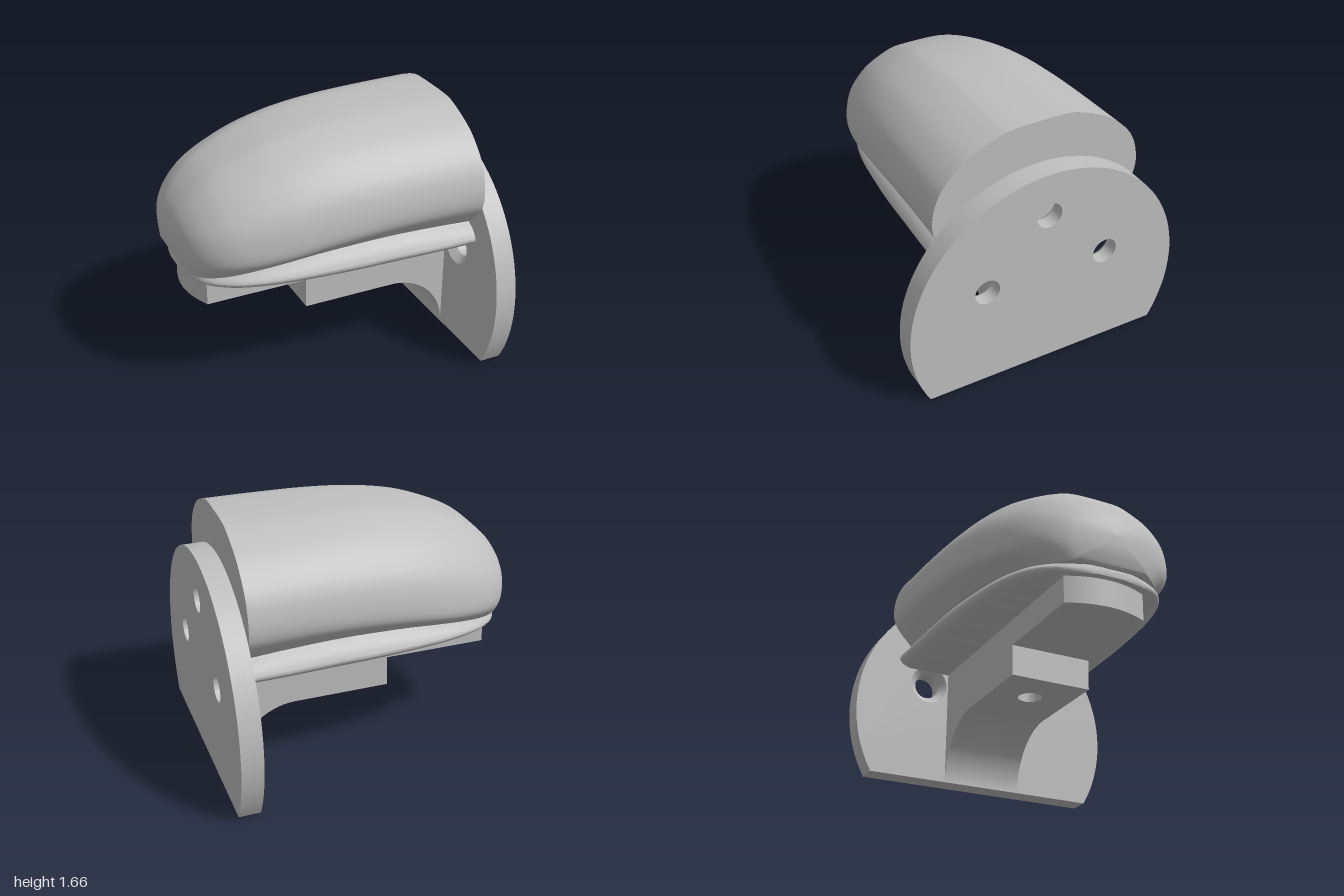
import * as THREE from 'three';
import { toCreasedNormals } from 'three/addons/utils/BufferGeometryUtils.js';

const grey = new THREE.MeshStandardMaterial({ color: 0xbebebe });
grey.name = 'grey';
const greyOpen = grey;
greyOpen.side = THREE.DoubleSide;

const PLATE_X = 0.86;   // inner face of the mounting plate
const ARM = 0.27;       // half width of the support arm

function part(name, geometry, crease = 0.6) {
  const mesh = new THREE.Mesh(toCreasedNormals(geometry, crease), grey);
  mesh.name = name;
  return mesh;
}

// Skin mirrored cross-sections along x.
// stations: [x, half width, mid y, top y, bottom y]; outline: [z, y] scaled to -1..1
function loft(stations, outline, steps = 72) {
  const curveA = new THREE.CatmullRomCurve3(stations.map(s => new THREE.Vector3(s[0], s[1], s[2])), false, 'catmullrom', 0.5);
  const curveB = new THREE.CatmullRomCurve3(stations.map(s => new THREE.Vector3(s[0], s[3], s[4])), false, 'catmullrom', 0.5);
  const half = new THREE.SplineCurve(outline.map(p => new THREE.Vector2(...p))).getPoints(28);
  const ring = [...half, ...half.slice(0, -1).reverse().map(p => new THREE.Vector2(-p.x, p.y))];
  const n = ring.length;
  const pos = [], idx = [];
  for (let i = 0; i <= steps; i++) {
    const a = curveA.getPoint(i / steps), b = curveB.getPoint(i / steps);
    for (const p of ring) {
      const rise = p.y > 0 ? b.y - a.z : a.z - b.z;
      pos.push(a.x, a.z + p.y * rise, p.x * Math.max(a.y, 0));
    }
  }
  for (let i = 0; i < steps; i++) {
    for (let j = 0; j < n; j++) {
      const k = (j + 1) % n;
      const a = i * n + j, b = i * n + k, c = a + n, d = b + n;
      idx.push(a, c, b, b, c, d);
    }
  }
  // flat end cap
  const end = stations[stations.length - 1];
  pos.push(end[0], end[2], 0);
  const centre = pos.length / 3 - 1;
  for (let j = 0; j < n; j++) idx.push(centre, steps * n + (j + 1) % n, steps * n + j);
  const g = new THREE.BufferGeometry();
  g.setAttribute('position', new THREE.Float32BufferAttribute(pos, 3));
  g.setIndex(idx);
  return g;
}

const extrude = (shape, depth) =>
  new THREE.ExtrudeGeometry(shape, { depth, bevelEnabled: false, curveSegments: 32 });

// One layer of the plate: a disc with a flat base and three holes
const HOLES = [[-0.41, 0.68], [0.41, 0.68], [0, 1.09]];
function plateLayer(x, depth, holeRadius) {
  const s = new THREE.Shape();
  s.absarc(0, 0.46, 0.92, -Math.PI / 6, Math.PI * 7 / 6, false);
  s.closePath();
  for (const [u, v] of HOLES) {
    s.holes.push(new THREE.Path().absarc(u, v, holeRadius, 0, Math.PI * 2, true));
  }
  return extrude(s, depth).rotateY(Math.PI / 2).translate(x, 0, 0);
}

export function createModel() {
  const model = new THREE.Group();
  model.name = 'wallBracket';

  // Rounded upper shell
  model.add(part('upperShell', loft([
    [-1.0, 0, 1.03, 1.03, 1.03],
    [-0.99, 0.1, 1.03, 1.09, 0.95],
    [-0.968, 0.21, 1.02, 1.16, 0.89],
    [-0.93, 0.32, 1.01, 1.23, 0.84],
    [-0.86, 0.42, 1.01, 1.315, 0.835],
    [-0.75, 0.505, 1.01, 1.41, 0.85],
    [-0.6, 0.567, 1.02, 1.49, 0.875],
    [-0.4, 0.615, 1.05, 1.567, 0.905],
    [-0.2, 0.642, 1.09, 1.613, 0.93],
    [0, 0.66, 1.12, 1.64, 0.945],
    [0.25, 0.674, 1.15, 1.655, 0.955],
    [0.55, 0.685, 1.17, 1.66, 0.95],
    [PLATE_X, 0.695, 1.18, 1.66, 0.935],
  ], [
    [0.8, -1], [0.9, -0.7], [0.96, -0.48], [0.99, -0.28], [1, 0], [0.98, 0.2],
    [0.935, 0.375], [0.86, 0.53], [0.72, 0.72], [0.575, 0.84], [0.38, 0.955], [0.25, 0.993], [0, 1],
  ])));

  // Bulging lip under the shell
  model.add(part('lowerLip', loft([
    [-0.94, 0, 0.805, 0.81, 0.8],
    [-0.934, 0.1, 0.805, 0.828, 0.78],
    [-0.915, 0.2, 0.805, 0.838, 0.775],
    [-0.87, 0.32, 0.81, 0.846, 0.775],
    [-0.79, 0.41, 0.82, 0.862, 0.775],
    [-0.65, 0.49, 0.83, 0.887, 0.775],
    [-0.4, 0.555, 0.84, 0.924, 0.775],
    [0, 0.6, 0.85, 0.962, 0.775],
    [0.3, 0.615, 0.855, 0.97, 0.775],
    [0.6, 0.625, 0.85, 0.962, 0.775],
    [PLATE_X, 0.63, 0.85, 0.945, 0.775],
  ], [
    [0.88, -1], [0.96, -0.75], [1, -0.35], [0.99, 0], [0.94, 0.4], [0.86, 0.75], [0.76, 1], [0, 1],
  ])));

  // Support arm with a curved front end
  const arm = new THREE.Shape();
  arm.moveTo(PLATE_X, -ARM);
  arm.lineTo(PLATE_X, ARM);
  arm.lineTo(-0.83, ARM);
  arm.quadraticCurveTo(-0.97, 0, -0.83, -ARM);
  arm.closePath();
  model.add(part('supportArm', extrude(arm, 0.21).rotateX(-Math.PI / 2).translate(0, 0.6, 0)));

  // Deeper block with a blind screw hole underneath
  const block = new THREE.Shape();
  block.moveTo(-0.16, -ARM);
  block.lineTo(0.46, -ARM);
  block.lineTo(0.46, ARM);
  block.lineTo(-0.16, ARM);
  block.closePath();
  block.holes.push(new THREE.Path().absarc(0.13, 0, 0.078, 0, Math.PI * 2, true));
  model.add(part('screwBlock', extrude(block, 0.2).rotateX(-Math.PI / 2).translate(0, 0.4, 0)));

  // Concave gusset joining block and plate
  const gusset = new THREE.Shape();
  gusset.moveTo(PLATE_X, 0);
  gusset.lineTo(PLATE_X, 0.6);
  gusset.lineTo(0.46, 0.6);
  gusset.lineTo(0.46, 0.4);
  gusset.absarc(0.46, 0, 0.4, Math.PI / 2, 0, true);
  model.add(part('gusset', extrude(gusset, ARM * 2).translate(0, 0, -ARM)));

  // Mounting plate in two layers, with countersunk holes
  const plate = new THREE.Group();
  plate.name = 'mountingPlate';
  plate.add(part('plateInner', plateLayer(PLATE_X, 0.05, 0.13)));
  plate.add(part('plateOuter', plateLayer(PLATE_X + 0.05, 0.09, 0.083)));
  for (const [u, v] of HOLES) {
    const cone = new THREE.CylinderGeometry(0.13, 0.083, 0.05, 32, 1, true)
      .rotateZ(Math.PI / 2).translate(PLATE_X + 0.025, v, u);
    plate.add(part('countersink', cone));
  }
  model.add(plate);
  return model;
}
